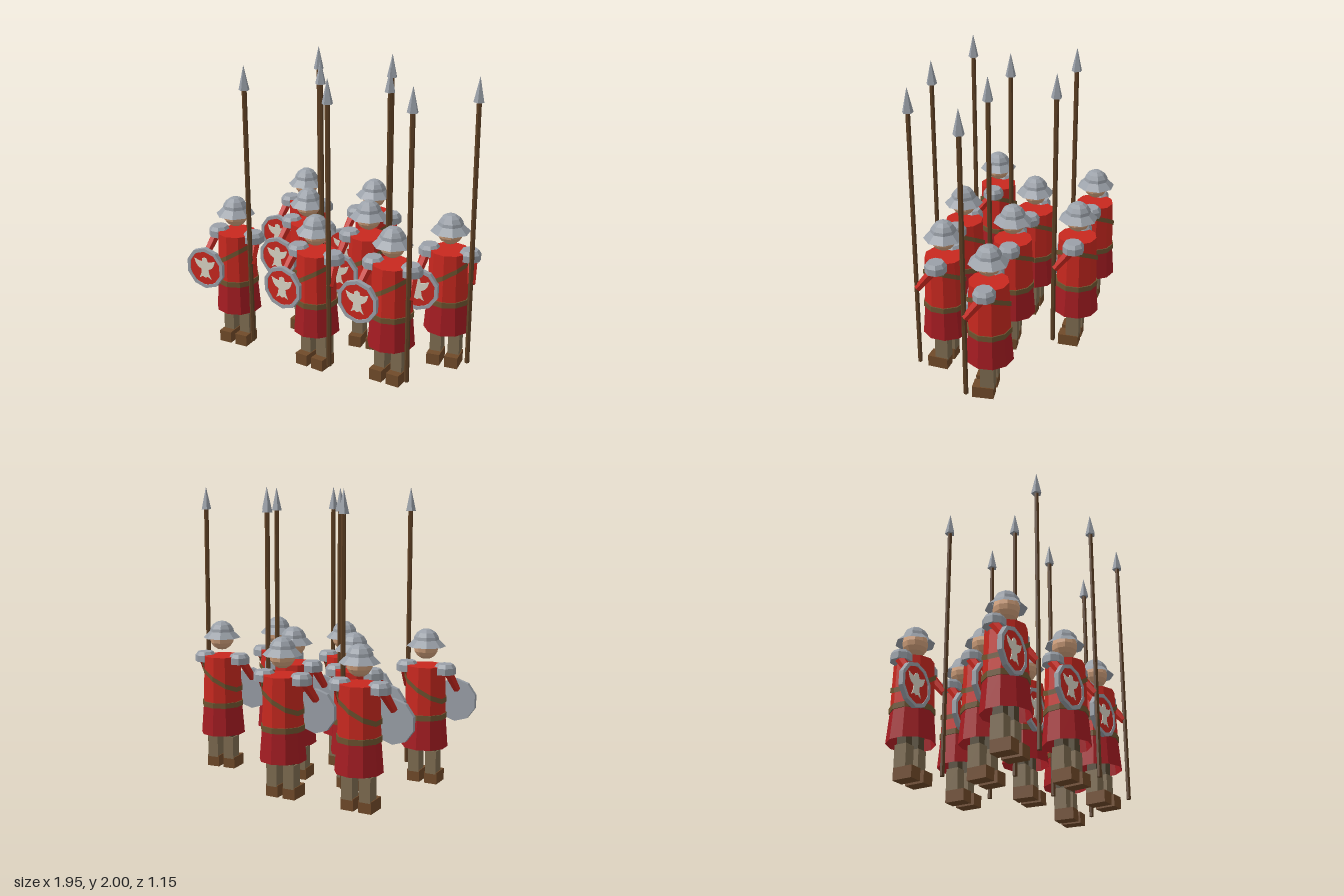
import * as THREE from 'three';

const mat = (name, color, side = THREE.FrontSide) => {
  const m = new THREE.MeshStandardMaterial({ color, side });
  m.name = name;
  return m;
};
const red = mat('red cloth', 0xc8281f);
const darkRed = mat('dark red cloth', 0xa51c22, THREE.DoubleSide);
const steel = mat('steel', 0x9aa0a8, THREE.DoubleSide);
const skin = mat('skin', 0xd2a17c);
const trousers = mat('trousers', 0x7d6b50);
const darkTrousers = mat('dark trousers', 0x51452f);
const boots = mat('boot leather', 0x704a29);
const leather = mat('strap leather', 0x6e5430, THREE.DoubleSide);
const wood = mat('wood', 0x5e4024);
const cream = mat('cream paint', 0xd9d4c4);

// Faceted mesh with a name and a position
function part(parent, name, geometry, material, x = 0, y = 0, z = 0) {
  const g = geometry.index ? geometry.toNonIndexed() : geometry;
  g.computeVertexNormals();
  const mesh = new THREE.Mesh(g, material);
  mesh.name = name;
  mesh.position.set(x, y, z);
  parent.add(mesh);
  return mesh;
}

// Upright frustum between heights y0 and y1
function frustum(r0, r1, y0, y1, sides, open = false) {
  return new THREE.CylinderGeometry(r1, r0, y1 - y0, sides, 1, open).translate(0, (y0 + y1) / 2, 0);
}

// Tapered limb between two points
function limb(parent, name, a, b, ra, rb, material) {
  const from = new THREE.Vector3(...a), to = new THREE.Vector3(...b);
  const dir = to.clone().sub(from);
  const mesh = part(parent, name, new THREE.CylinderGeometry(rb, ra, dir.length(), 6), material);
  mesh.position.copy(from).addScaledVector(dir, 0.5);
  mesh.quaternion.setFromUnitVectors(new THREE.Vector3(0, 1, 0), dir.normalize());
}

// Shoulder strap: a band round the chest, slanted down to the right arm side
function strapGeometry() {
  const g = frustum(0.144, 0.144, 0.648, 0.682, 10, true);
  const p = g.attributes.position;
  for (let i = 0; i < p.count; i++) p.setY(i, p.getY(i) + 0.6 * p.getX(i));
  return g;
}

// Spread-winged bird, one half mirrored
function birdGeometry() {
  const half = [[0, 0.09], [0.018, 0.082], [0.024, 0.058], [0.05, 0.062], [0.083, 0.074],
    [0.07, 0.035], [0.055, 0.016], [0.028, 0.002], [0.032, -0.03], [0.048, -0.066], [0.02, -0.05], [0, -0.06]];
  const other = half.slice(1, -1).reverse().map(([x, y]) => [-x, y]);
  const shape = new THREE.Shape([...half, ...other].map(([x, y]) => new THREE.Vector2(x, y)));
  return new THREE.ExtrudeGeometry(shape, { depth: 0.004, bevelEnabled: false });
}

function buildShield() {
  const shield = new THREE.Group();
  shield.name = 'shield';
  const disc = (r, depth) => new THREE.CylinderGeometry(r, r, depth, 10).rotateX(Math.PI / 2);
  part(shield, 'shieldBack', disc(0.138, 0.02), steel);
  part(shield, 'shieldFace', disc(0.126, 0.008), red, 0, 0, 0.013);
  // Raised rim
  const rim = new THREE.Shape(), hole = new THREE.Path();
  for (let i = 0; i < 10; i++) {
    const a = (i / 10) * Math.PI * 2 + Math.PI / 10, c = Math.cos(a), s = Math.sin(a);
    rim[i ? 'lineTo' : 'moveTo'](0.148 * c, 0.148 * s);
    hole[i ? 'lineTo' : 'moveTo'](0.124 * c, 0.124 * s);
  }
  rim.holes.push(hole);
  const ring = new THREE.ExtrudeGeometry(rim, { depth: 0.032, bevelEnabled: false });
  part(shield, 'shieldRim', ring.rotateZ(Math.PI / 10), steel, 0, 0, -0.01);
  shield.children[0].rotation.z = shield.children[1].rotation.z = Math.PI / 10;
  shield.children[2].rotation.z = Math.PI / 10;
  part(shield, 'birdEmblem', birdGeometry(), cream, 0, -0.01, 0.017);
  shield.position.set(-0.168, 0.565, 0.135);
  return shield;
}

function buildSpear() {
  const spear = new THREE.Group();
  spear.name = 'spear';
  part(spear, 'spearShaft', frustum(0.016, 0.016, 0.08, 1.86, 6), wood);
  part(spear, 'spearHead', frustum(0.036, 0.001, 1.845, 2, 5), steel);
  spear.position.set(0.18, 0, 0.12);
  return spear;
}

function buildSoldier() {
  const s = new THREE.Group();

  // Legs and boots
  for (const x of [-0.063, 0.063]) {
    part(s, 'boot', new THREE.BoxGeometry(0.09, 0.08, 0.14), boots, x, 0.04, 0.028);
    part(s, 'leg', new THREE.BoxGeometry(0.078, 0.16, 0.09), trousers, x, 0.15, 0);
    part(s, 'upperLeg', new THREE.BoxGeometry(0.06, 0.22, 0.07), darkTrousers, x, 0.34, 0);
  }

  // Tunic, belt and strap
  part(s, 'skirt', frustum(0.157, 0.14, 0.255, 0.46, 10, true), darkRed);
  part(s, 'torso', frustum(0.14, 0.13, 0.46, 0.815, 10), red);
  part(s, 'belt', frustum(0.147, 0.147, 0.455, 0.492, 10), leather);
  part(s, 'strap', strapGeometry(), leather);

  // Arms and shoulder plates
  for (const side of [-1, 1]) {
    limb(s, 'arm', [side * 0.155, 0.79, 0], [side * 0.183, 0.645, 0.112], 0.035, 0.026, red);
    const pad = part(s, 'shoulderPlate', frustum(0.073, 0.073, 0.765, 0.81, 8).rotateY(Math.PI / 8),
      steel, side * 0.137);
    part(pad, 'shoulderPlateTop', frustum(0.073, 0.055, 0.81, 0.835, 8).rotateY(Math.PI / 8), steel);
  }

  // Head and brimmed helmet
  part(s, 'head', new THREE.SphereGeometry(0.086, 10, 8), skin, 0, 0.943, 0);
  part(s, 'helmetBrim', frustum(0.132, 0.085, 0.945, 0.99, 8, true).rotateY(Math.PI / 8), steel);
  const dome = new THREE.SphereGeometry(0.088, 8, 4, 0, Math.PI * 2, 0, Math.PI / 2);
  part(s, 'helmetDome', dome.rotateY(Math.PI / 8), steel, 0, 0.977, 0);

  s.add(buildShield(), buildSpear());
  return s;
}

export function createModel() {
  const squad = new THREE.Group();
  squad.name = 'squad';
  // x, z and turn of each soldier
  const places = [
    [-0.55, -0.42, 0], [0.005, -0.42, 0.02],
    [-0.315, -0.035, -0.03], [0.165, -0.012, 0.11], [0.748, -0.03, 0.1],
    [-0.665, 0.347, 0.02], [-0.015, 0.395, -0.1], [0.513, 0.35, -0.06],
  ];
  const soldier = buildSoldier();
  places.forEach(([x, z, turn], i) => {
    const copy = soldier.clone();
    copy.name = `soldier${i + 1}`;
    copy.position.set(x, 0, z);
    copy.rotation.y = turn;
    squad.add(copy);
  });
  return squad;
}
